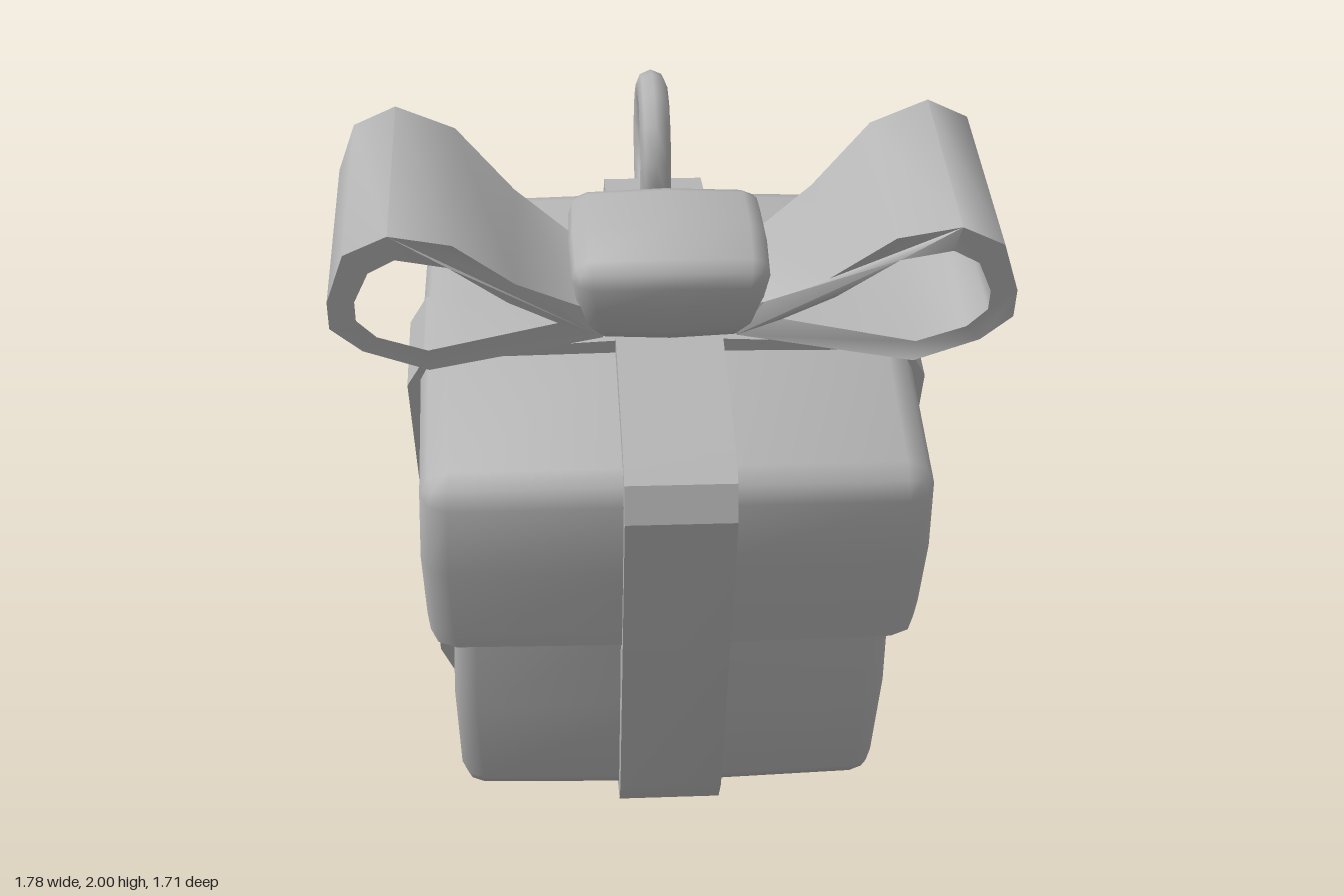
import * as THREE from 'three';
import { toCreasedNormals } from 'three/addons/utils/BufferGeometryUtils.js';

const grey = new THREE.MeshStandardMaterial({ color: 0xb4b4b4 });
grey.name = 'plainGrey';

function part(name, geometry, parent) {
  const mesh = new THREE.Mesh(geometry, grey);
  mesh.name = name;
  parent.add(mesh);
  return mesh;
}

const points = (list) => list.map(([x, y]) => new THREE.Vector2(x, y));

// Box with rounded edges and gently swollen faces; an open end stays sharp and flat
function softBox(hx, hy, hz, r, swell, sharpEnd = 0, taper = 0) {
  const geo = new THREE.BoxGeometry(4, 4, 4, 4, 4, 4);
  const pos = geo.attributes.position;
  const half = [hx, hy, hz];
  for (let i = 0; i < pos.count; i++) {
    const steps = [pos.getX(i), pos.getY(i), pos.getZ(i)].map(Math.round);
    const core = steps.map((s, a) => Math.sign(s) * (s === 0 ? 0 : half[a] - r));
    const out = new THREE.Vector3(...steps.map((s) => (Math.abs(s) === 2 ? Math.sign(s) : 0)));
    const atSharpEnd = sharpEnd !== 0 && out.y === sharpEnd;
    if (atSharpEnd) out.y = 0;
    if (out.lengthSq() > 0) out.setLength(r);
    // interior points of the sharp end stay on the flat face
    let [x, y, z] = [core[0] + out.x, core[1] + out.y, core[2] + out.z];
    if (atSharpEnd) y = sharpEnd * hy;
    const fx = 1 - (x / hx) ** 2, fy = 1 - (y / hy) ** 2, fz = 1 - (z / hz) ** 2;
    const narrow = 1 + taper * (y / hy - 1);
    pos.setXYZ(i,
      (x + Math.sign(x) * swell * (fy + fz) / 2) * narrow,
      y + (atSharpEnd ? 0 : Math.sign(y) * swell * (fx + fz) / 2),
      (z + Math.sign(z) * swell * (fx + fy) / 2) * narrow);
  }
  return toCreasedNormals(geo, 1.05);
}

// Band around the box: a faceted square outline, slightly wider at the top
function bandGeometry(width, scale) {
  const side = [[0.555, -0.675], [0.65, -0.63], [0.69, -0.53], [0.735, 0.545], [0.685, 0.635], [0.57, 0.67]];
  const mirrored = side.map(([x, y]) => [-x, y]).reverse();
  const outline = [[0, -0.705], ...side, [0, 0.7], ...mirrored].map(([x, y]) => [x * scale, y * scale]);
  const shape = new THREE.Shape(points(outline));
  const geo = new THREE.ExtrudeGeometry(shape, { depth: width, bevelEnabled: false });
  geo.translate(0, 0, -width / 2);
  return toCreasedNormals(geo, 0.4);
}

// One bow loop, narrowing in depth towards the knot; side is +1 or -1
function bowLoopGeometry(side) {
  const outer = [[0.18, 0.7], [0.64, 0.71], [0.81, 0.78], [0.89, 0.855], [0.89, 0.94],
    [0.84, 1.086], [0.725, 1.143], [0.566, 1.09], [0.41, 0.925], [0.25, 0.81], [0.18, 0.79]];
  const inner = [[0.3, 0.765], [0.64, 0.775], [0.77, 0.825], [0.82, 0.88], [0.82, 0.94],
    [0.78, 1.03], [0.71, 1.07], [0.58, 1.025], [0.43, 0.87]];
  const flip = (list) => points(list.map(([x, y]) => [x * side, y]));
  const shape = new THREE.Shape(flip(outer));
  shape.holes.push(new THREE.Path(flip(inner)));
  const geo = new THREE.ExtrudeGeometry(shape, { depth: 2, bevelEnabled: false });
  geo.translate(0, 0, -1);
  const pos = geo.attributes.position;
  for (let i = 0; i < pos.count; i++) {
    const t = THREE.MathUtils.clamp((Math.abs(pos.getX(i)) - 0.25) / 0.4, 0, 1);
    pos.setZ(i, pos.getZ(i) * (0.16 + 0.14 * t));
  }
  return toCreasedNormals(geo, 0.9);
}

export function createModel() {
  const model = new THREE.Group();
  model.name = 'giftBoxOrnament';

  // Everything leans forward together
  const gift = new THREE.Group();
  gift.name = 'tiltedGift';
  gift.rotation.x = THREE.MathUtils.degToRad(20);
  gift.position.set(0, 0.828, -0.023);
  model.add(gift);

  // Box and overhanging lid
  part('boxBody', softBox(0.595, 0.37, 0.595, 0.06, 0.025, 1), gift).position.y = -0.26;
  part('lid', softBox(0.66, 0.285, 0.66, 0.07, 0.025, -1), gift).position.y = 0.325;

  // Crossed ribbon bands
  part('frontBackRibbon', bandGeometry(0.29, 1), gift).rotation.y = Math.PI / 2;
  part('sideRibbon', bandGeometry(0.28, 0.97), gift);

  // Bow
  part('leftBowLoop', bowLoopGeometry(1), gift);
  part('rightBowLoop', bowLoopGeometry(-1), gift);
  part('bowKnot', softBox(0.265, 0.125, 0.205, 0.055, 0.018, 0, 0.1), gift).position.y = 0.815;

  // Hanging ring through the back top edge
  const ring = part('hangingRing', new THREE.TorusGeometry(0.2, 0.045, 8, 14), gift);
  ring.rotation.y = Math.PI / 2;
  ring.position.set(0, 0.698, -0.735);

  return model;
}
